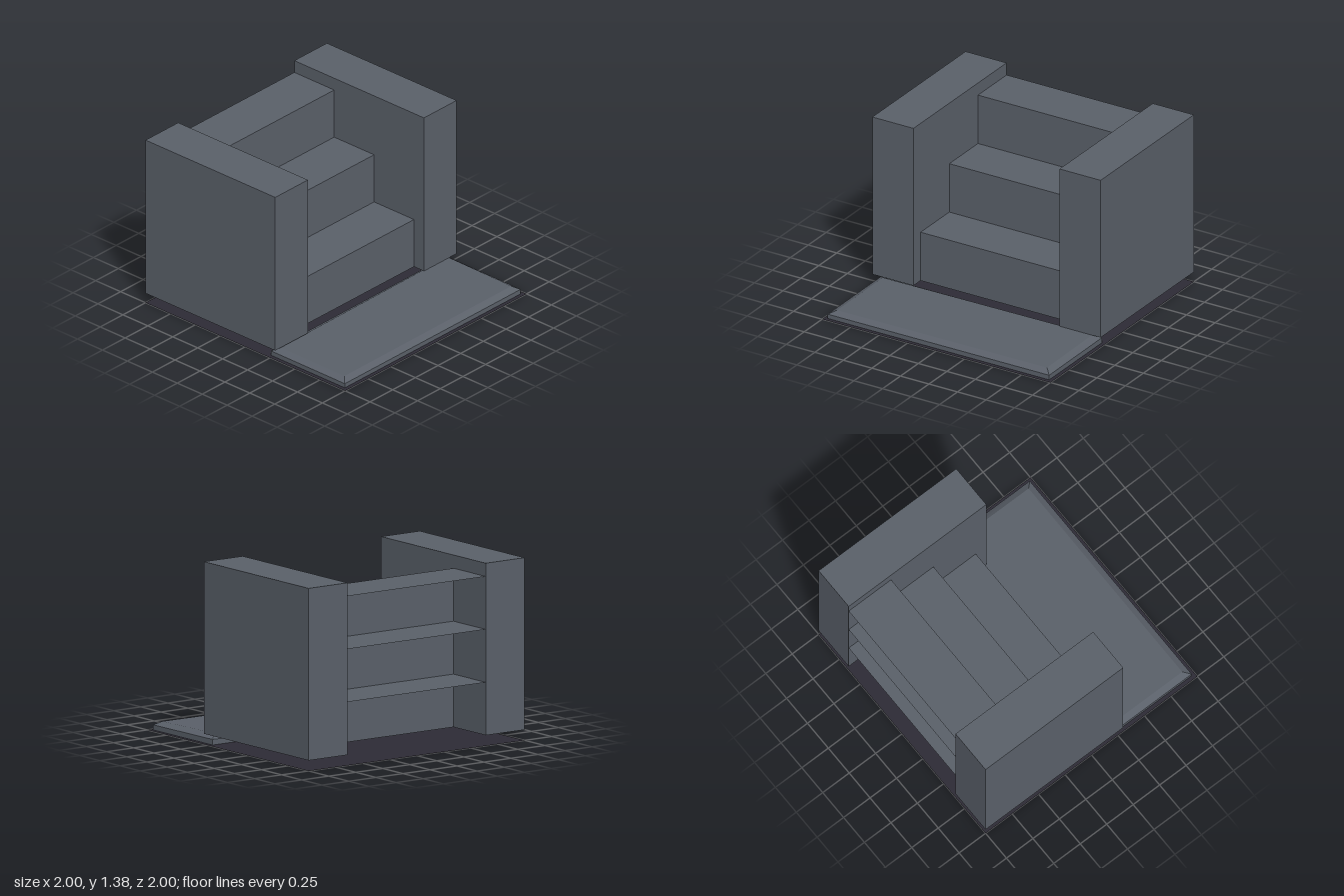
import * as THREE from 'three';

export function createModel() {
  const group = new THREE.Group();
  const stone = new THREE.MeshStandardMaterial({ color: 0x5a6069, side: THREE.DoubleSide, flatShading: true });
  stone.name = 'slate grey';
  const dark = new THREE.MeshStandardMaterial({ color: 0x2d2b35, side: THREE.DoubleSide });
  dark.name = 'dark ground';

  function add(name, geometry, material, x, y, z) {
    const mesh = new THREE.Mesh(geometry, material);
    mesh.name = name;
    mesh.position.set(x, y, z);
    group.add(mesh);
    return mesh;
  }

  // Thin ground sheet
  add('groundSheet', new THREE.PlaneGeometry(2, 2).rotateX(-Math.PI / 2), dark, 0, 0, 0);

  // Side walls flanking the stairs
  for (const side of [1, -1]) {
    add(side > 0 ? 'leftWall' : 'rightWall', new THREE.BoxGeometry(0.36, 1.3, 1.3), stone, side * 0.82, 0.73, -0.35);
  }

  // Stairs: sheet treads reaching the back, each with a front riser
  const width = 1.28;
  for (let i = 0; i < 3; i++) {
    const front = 0.2 - 0.4 * i;
    const top = 0.48 + 0.4 * i;
    const depth = front + 1;
    add(`tread${i + 1}`, new THREE.PlaneGeometry(width, depth).rotateX(-Math.PI / 2), stone, 0, top, front - depth / 2);
    add(`riser${i + 1}`, new THREE.PlaneGeometry(width, 0.4), stone, 0, top - 0.2, front);
  }
  // Inner wall closing the recesses at the back, below the top riser
  add('backPanel', new THREE.PlaneGeometry(width, 0.8).rotateY(Math.PI), stone, 0, 0.48, -0.6);

  // Bevelled front slab, its top tilting slightly up to the back left
  const rings = [
    { inset: 0, y: [0, 0, 0, 0] },
    { inset: 0, y: [0.035, 0.038, 0.042, 0.037] },
    { inset: 0.05, y: [0.06, 0.067, 0.075, 0.063] },
  ];
  const positions = [];
  for (const { inset, y } of rings) {
    const x = 0.97 - inset, z0 = 0.23 + inset, z1 = 0.97 - inset;
    [[-x, z1], [x, z1], [x, z0], [-x, z0]].forEach(([px, pz], i) => positions.push(px, y[i], pz));
  }
  const index = [0, 2, 1, 0, 3, 2, 8, 9, 10, 8, 10, 11];
  for (let r = 0; r < 2; r++) {
    for (let i = 0; i < 4; i++) {
      const a = r * 4 + i, b = r * 4 + (i + 1) % 4;
      index.push(a, b, b + 4, a, b + 4, a + 4);
    }
  }
  let slab = new THREE.BufferGeometry();
  slab.setAttribute('position', new THREE.Float32BufferAttribute(positions, 3));
  slab.setIndex(index);
  slab = slab.toNonIndexed();
  slab.computeVertexNormals();
  add('frontSlab', slab, stone, 0, 0.002, 0);

  return group;
}
